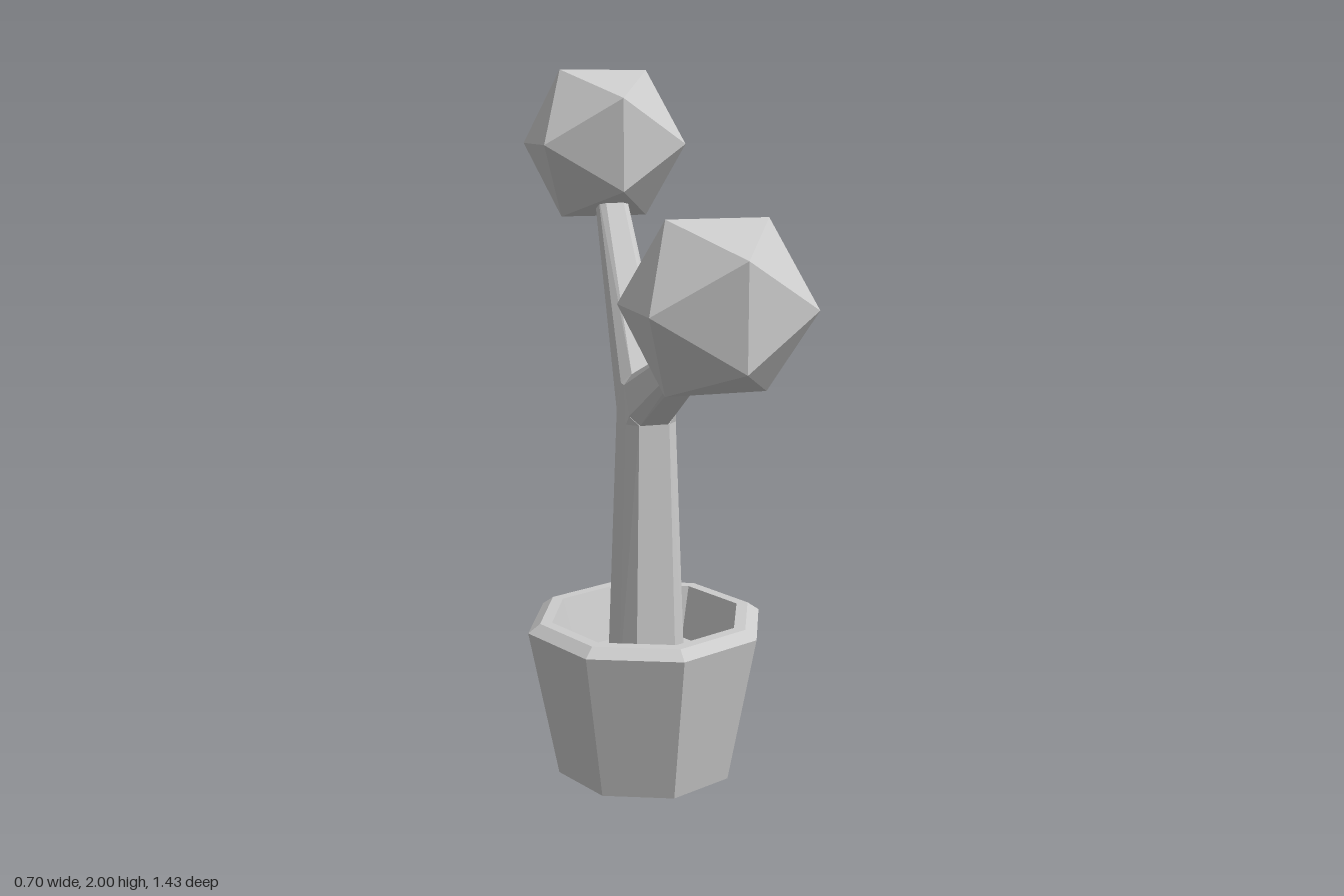
import * as THREE from 'three';
import { ConvexGeometry } from 'three/addons/geometries/ConvexGeometry.js';

const material = new THREE.MeshStandardMaterial({ color: 0xcccccc, flatShading: true });

// Eight-sided cross-section spanning points p and q (each [z, y]), with half width a in x.
function ring(p, q, a) {
  const f = 0.6; // flat part of each side; the corners are chamfered
  const outline = [[1, f], [f, 1], [-f, 1], [-1, f], [-1, -f], [-f, -1], [f, -1], [1, -f]];
  return outline.map(([s, t]) => new THREE.Vector3(
    s * a,
    (p[1] + q[1]) / 2 + t * (p[1] - q[1]) / 2,
    (p[0] + q[0]) / 2 + t * (p[0] - q[0]) / 2
  ));
}

export function createModel() {
  const group = new THREE.Group();
  const add = (name, geometry, x = 0, y = 0, z = 0) => {
    const mesh = new THREE.Mesh(geometry, material);
    mesh.name = name;
    mesh.position.set(x, y, z);
    group.add(mesh);
  };
  const limb = (name, ...rings) => add(name, new ConvexGeometry(rings.flat()));

  // Octagonal pot with bevelled rim and recessed soil
  const profile = [[0, 0], [0.265, 0], [0.35, 0.435], [0.315, 0.46], [0.28, 0.46], [0.235, 0.31], [0, 0.31]];
  add('pot', new THREE.LatheGeometry(profile.map(([r, y]) => new THREE.Vector2(r, y)), 8), 0, 0, -0.08);

  // Fork outline in the side plane
  const front = [0, 1.033], back = [-0.157, 1.033], crotch = [-0.08, 1.165];
  const trunkTop = ring(front, back, 0.073);
  const frontStart = ring(crotch, front, 0.068);
  const backStart = ring(crotch, back, 0.068);

  // Trunk, fork and the two tapering branches
  limb('trunk', ring([0.018, 0.3], [-0.178, 0.3], 0.098), trunkTop);
  limb('fork', trunkTop, frontStart, backStart);
  limb('frontBranch', frontStart, ring([0.42, 1.347], [0.445, 1.3], 0.042));
  limb('backBranch', backStart, ring([-0.41, 1.662], [-0.468, 1.645], 0.042));

  // Faceted foliage balls
  add('frontFoliage', new THREE.IcosahedronGeometry(0.25, 0), 0, 1.425, 0.5);
  add('backFoliage', new THREE.IcosahedronGeometry(0.25, 0), 0, 1.787, -0.5);

  return group;
}
